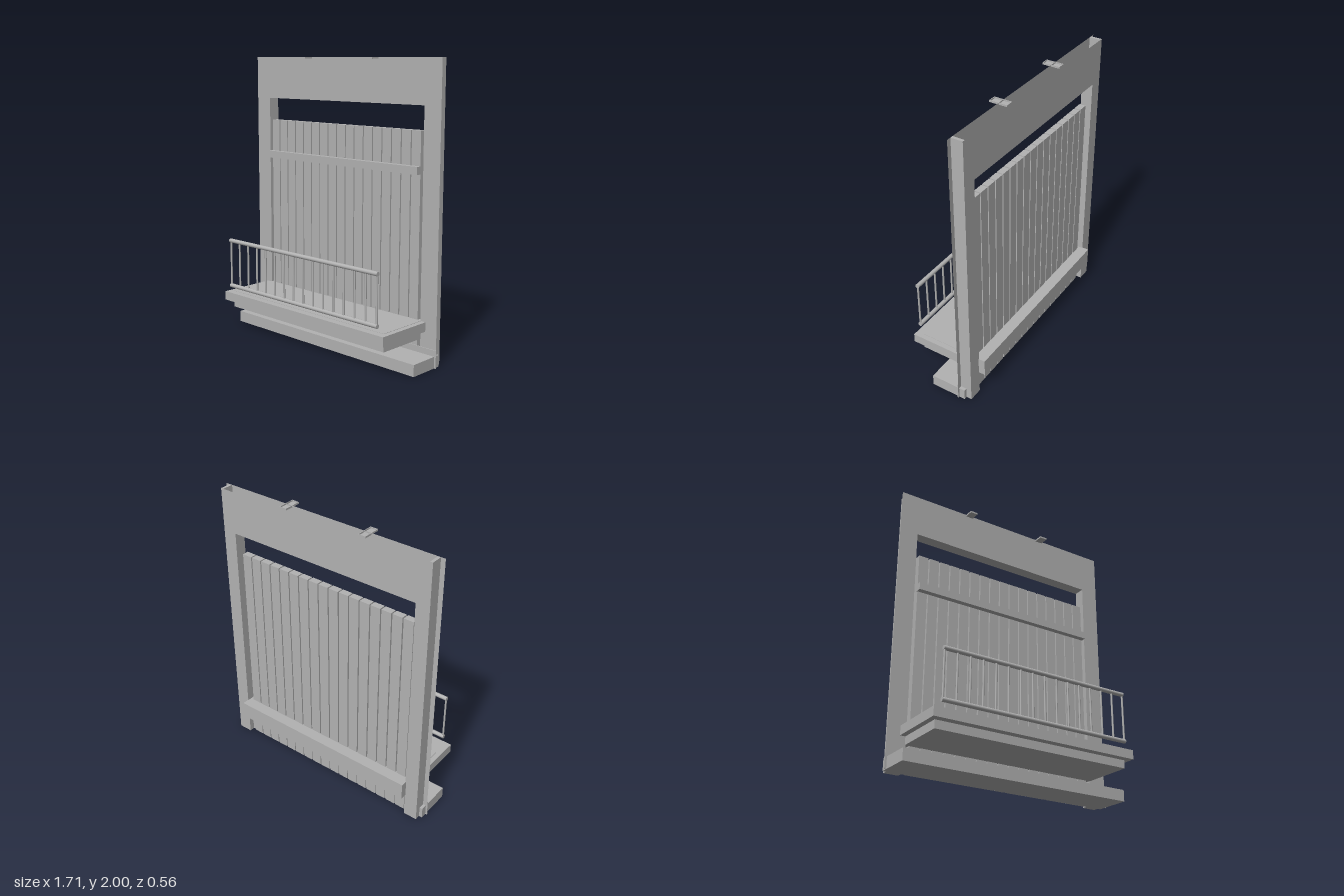
import * as THREE from 'three';

export function createModel() {
  const group = new THREE.Group();
  const grey = new THREE.MeshStandardMaterial({ color: 0xb2b2b2, side: THREE.DoubleSide });
  grey.name = 'plainGrey';

  const add = (name, geometry, parent = group) => {
    const mesh = new THREE.Mesh(geometry, grey);
    mesh.name = name;
    parent.add(mesh);
    return mesh;
  };
  // Box given by its lower and upper limits on each axis
  const box = (name, x0, x1, y0, y1, z0, z1, parent) =>
    add(name, new THREE.BoxGeometry(x1 - x0, y1 - y0, z1 - z0), parent)
      .position.set((x0 + x1) / 2, (y0 + y1) / 2, (z0 + z1) / 2);
  const subgroup = (name) => {
    const g = new THREE.Group();
    g.name = name;
    group.add(g);
    return g;
  };

  // Hollow door surround, open along its top
  const front = -0.15, back = -0.232, open = 0.72, head = 1.7;
  const surround = subgroup('doorSurround');
  const sheet = (name, halfWidth, z) => {
    const shape = new THREE.Shape([
      [-halfWidth, 0], [-open, 0], [-open, head], [open, head],
      [open, 0], [halfWidth, 0], [halfWidth, 2], [-halfWidth, 2],
    ].map(([x, y]) => new THREE.Vector2(x, y)));
    add(name, new THREE.ShapeGeometry(shape), surround).position.z = z;
  };
  sheet('frontSheet', 0.852, front);
  sheet('backSheet', 0.82, back);
  box('lintelSoffit', -open, open, head, head + 0.004, back, front, surround);
  for (const s of [-1, 1]) {
    const wall = (name, a, b, y0, y1) =>
      box(name, Math.min(s * a, s * b), Math.max(s * a, s * b), y0, y1, back, front, surround);
    wall('outerWall', 0.8, 0.82, 0, 2);
    wall('jamb', open, open + 0.004, 0, head);
    wall('postFoot', open, 0.82, 0, 0.004);
  }

  // Vertical planks with narrow gaps, and the batten across them
  const planks = subgroup('planks');
  const count = 17, pitch = 1.4 / count;
  for (let i = 0; i < count; i++) {
    const x = -0.7 + i * pitch + 0.004;
    box('plank', x, x + pitch - 0.009, 0, 1.54, -0.2, -0.153);
    planks.add(group.children[group.children.length - 1]);
  }
  box('batten', -0.7, 0.7, 1.26, 1.312, -0.155, -0.113);

  // Balcony slab running through the planks, with a projecting ledge
  box('balconySlab', -0.725, 0.725, 0.174, 0.296, -0.28, 0.225);
  box('balconyLedge', -0.762, 0.762, 0.23, 0.294, front, 0.276);

  // Step and thin kick plate at the foot
  box('step', -0.843, 0.843, 0, 0.08, -0.193, 0.068);
  box('kickPlate', -0.856, 0.856, 0, 0.122, -0.15, -0.144);

  // Railing with round rails and balusters
  const railing = subgroup('railing');
  const railZ = 0.264;
  for (const y of [0.348, 0.684]) {
    const rail = add('rail', new THREE.CylinderGeometry(0.015, 0.015, 1.412, 12), railing);
    rail.rotation.z = Math.PI / 2;
    rail.position.set(0, y, railZ);
  }
  for (let i = 0; i < 16; i++) {
    add('baluster', new THREE.CylinderGeometry(0.007, 0.007, 0.336, 8), railing)
      .position.set(-0.699 + (i * 1.398) / 15, 0.516, railZ);
  }

  // Shallow open brackets on the top edge
  for (const s of [-1, 1]) {
    const bracket = subgroup('topBracket');
    bracket.position.x = s * 0.308;
    box('bracketBase', -0.028, 0.028, 1.988, 1.991, -0.21, -0.084, bracket);
    for (const e of [-1, 1]) {
      box('bracketSide', e * 0.026 - 0.002, e * 0.026 + 0.002, 1.988, 2, -0.21, -0.084, bracket);
      const z = -0.147 + e * 0.061;
      box('bracketEnd', -0.028, 0.028, 1.988, 2, z - 0.002, z + 0.002, bracket);
    }
  }
  return group;
}
